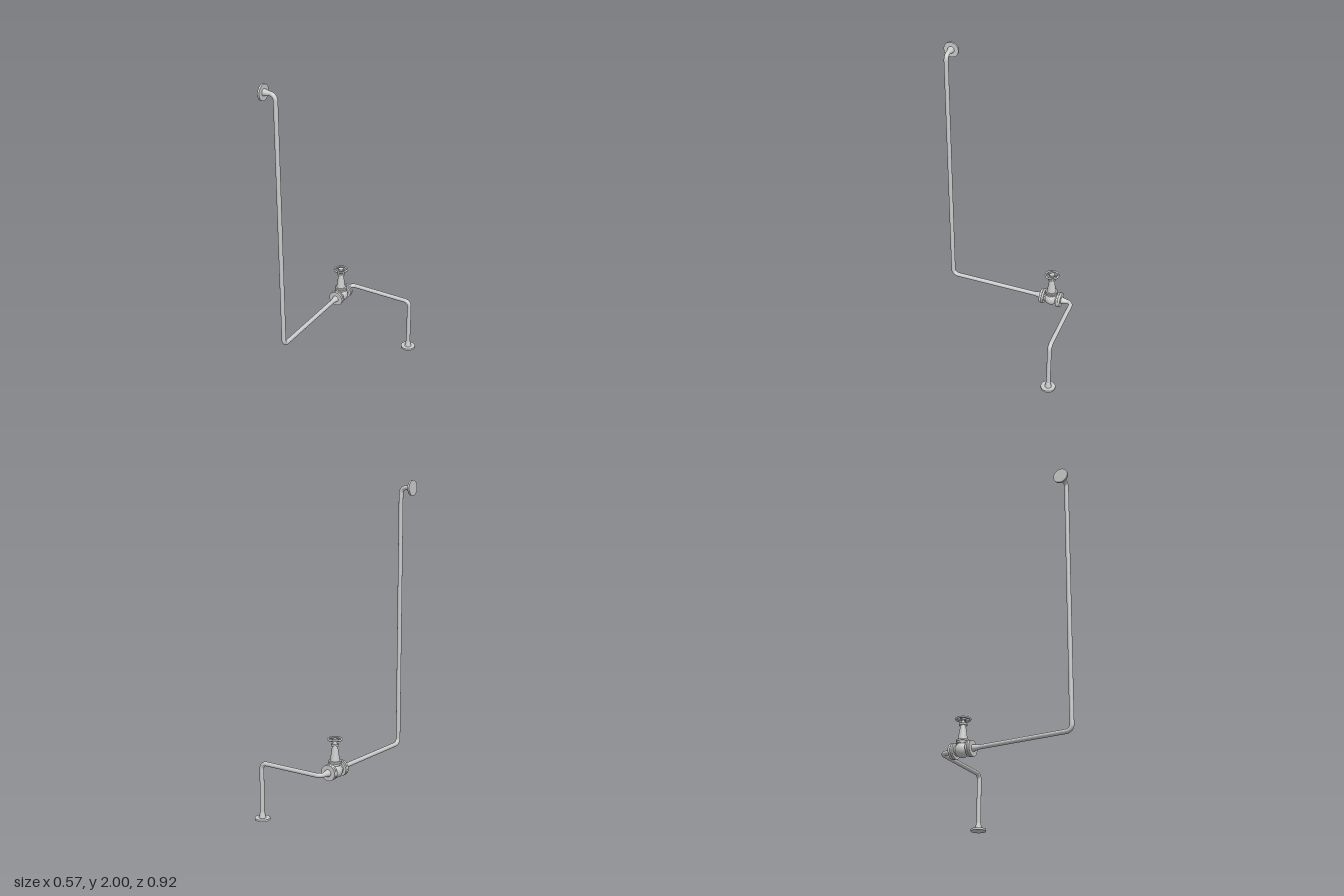
import * as THREE from 'three';

const R = 0.0135;          // pipe radius
const BEND = 0.035;        // elbow radius
const V = (x, y, z) => new THREE.Vector3(x, y, z);
const mat = new THREE.MeshStandardMaterial({ color: 0xcccccc });
const UP = V(0, 1, 0);

function add(parent, name, geometry) {
  const mesh = new THREE.Mesh(geometry, mat);
  mesh.name = name;
  parent.add(mesh);
  return mesh;
}

// Capped cylinder or cone from y0 to y1 along the parent's y axis
function disc(parent, name, r0, r1, y0, y1, open = false) {
  const geometry = new THREE.CylinderGeometry(r1, r0, y1 - y0, 32, 1, open);
  return add(parent, name, geometry.translate(0, (y0 + y1) / 2, 0));
}

// Group whose y axis points along dir
function axisGroup(parent, name, position, dir) {
  const g = new THREE.Group();
  g.name = name;
  g.position.copy(position);
  g.quaternion.setFromUnitVectors(UP, dir);
  parent.add(g);
  return g;
}

// Pipe run with a quarter-circle elbow at each inner corner
function pipeRun(parent, name, points) {
  const run = new THREE.Group();
  run.name = name;
  parent.add(run);
  let start = points[0];
  for (let i = 1; i < points.length; i++) {
    const p = points[i], last = i === points.length - 1;
    const dirIn = p.clone().sub(points[i - 1]).normalize();
    const a = last ? p : p.clone().addScaledVector(dirIn, -BEND);
    add(run, 'straightPipe', new THREE.TubeGeometry(new THREE.LineCurve3(start, a), 1, R, 24));
    if (last) break;
    const dirOut = points[i + 1].clone().sub(p).normalize();
    const b = p.clone().addScaledVector(dirOut, BEND);
    const k = BEND * 0.5523;
    const arc = new THREE.CubicBezierCurve3(a, a.clone().addScaledVector(dirIn, k),
      b.clone().addScaledVector(dirOut, -k), b);
    add(run, 'elbow', new THREE.TubeGeometry(arc, 12, R, 24));
    start = b;
  }
}

// Flange plate with a tapered neck reaching along its axis
function neckFlange(parent, name, position, dir, radius = 0.0465) {
  const g = axisGroup(parent, name, position, dir);
  disc(g, 'flangePlate', radius, radius, 0, 0.012);
  disc(g, 'taperedNeck', 0.021, R, 0.012, 0.05, true);
}

export function createModel() {
  const model = new THREE.Group();
  model.name = 'pipeWithValve';
  const px = -0.2, py = 0.352, zFront = 0.411, zBack = -0.415, zValve = -0.276;
  const topY = 1.9535, floorX = 0.235;

  // Pipes on either side of the valve
  pipeRun(model, 'tallPipe', [V(-0.275, topY, zFront), V(px, topY, zFront),
    V(px, py, zFront), V(px, py, zValve + 0.06)]);
  pipeRun(model, 'floorPipe', [V(px, py, zValve - 0.06), V(px, py, zBack),
    V(floorX, py, zBack), V(floorX, 0.005, zBack)]);

  // End flanges
  neckFlange(model, 'wallFlange', V(-0.285, topY, zFront), V(1, 0, 0));
  neckFlange(model, 'floorFlange', V(floorX, 0, zBack), UP);

  // Valve
  const valve = new THREE.Group();
  valve.name = 'valve';
  valve.position.set(px, py, zValve);
  model.add(valve);
  add(valve, 'valveBody', new THREE.SphereGeometry(0.045, 32, 20));
  for (const s of [1, -1]) {
    const side = axisGroup(valve, 'valveCoupling', V(0, 0, 0), V(0, 0, s));
    disc(side, 'bodyNeck', 0.03, 0.03, 0.02, 0.045);
    disc(side, 'innerFlange', 0.0475, 0.0475, 0.042, 0.054);
    disc(side, 'gasket', 0.04, 0.04, 0.052, 0.058);
    disc(side, 'outerFlange', 0.0475, 0.0475, 0.0565, 0.07);
    disc(side, 'taperedNeck', 0.021, R, 0.07, 0.108, true);
  }

  // Bonnet, packing gland and stem
  disc(valve, 'bonnetNeck', 0.032, 0.032, 0.015, 0.04);
  disc(valve, 'lowerBonnetFlange', 0.038, 0.038, 0.036, 0.046);
  disc(valve, 'upperBonnetFlange', 0.038, 0.038, 0.049, 0.059);
  disc(valve, 'bonnetGasket', 0.032, 0.032, 0.045, 0.05);
  disc(valve, 'bonnet', 0.029, 0.016, 0.059, 0.148);
  disc(valve, 'packingRing', 0.024, 0.024, 0.148, 0.159);
  disc(valve, 'packingNut', 0.014, 0.012, 0.159, 0.172);
  disc(valve, 'stem', 0.008, 0.008, 0.17, 0.19);

  // Handwheel
  const wheel = new THREE.Group();
  wheel.name = 'handwheel';
  wheel.position.y = 0.187;
  valve.add(wheel);
  add(wheel, 'rim', new THREE.TorusGeometry(0.041, 0.006, 12, 40).rotateX(Math.PI / 2));
  disc(wheel, 'hub', 0.016, 0.016, -0.006, 0.006);
  for (let i = 0; i < 4; i++) {
    const spoke = add(wheel, 'spoke',
      new THREE.BoxGeometry(0.028, 0.006, 0.006).translate(0.027, 0, 0));
    spoke.rotation.y = i * Math.PI / 2;
  }
  return model;
}
